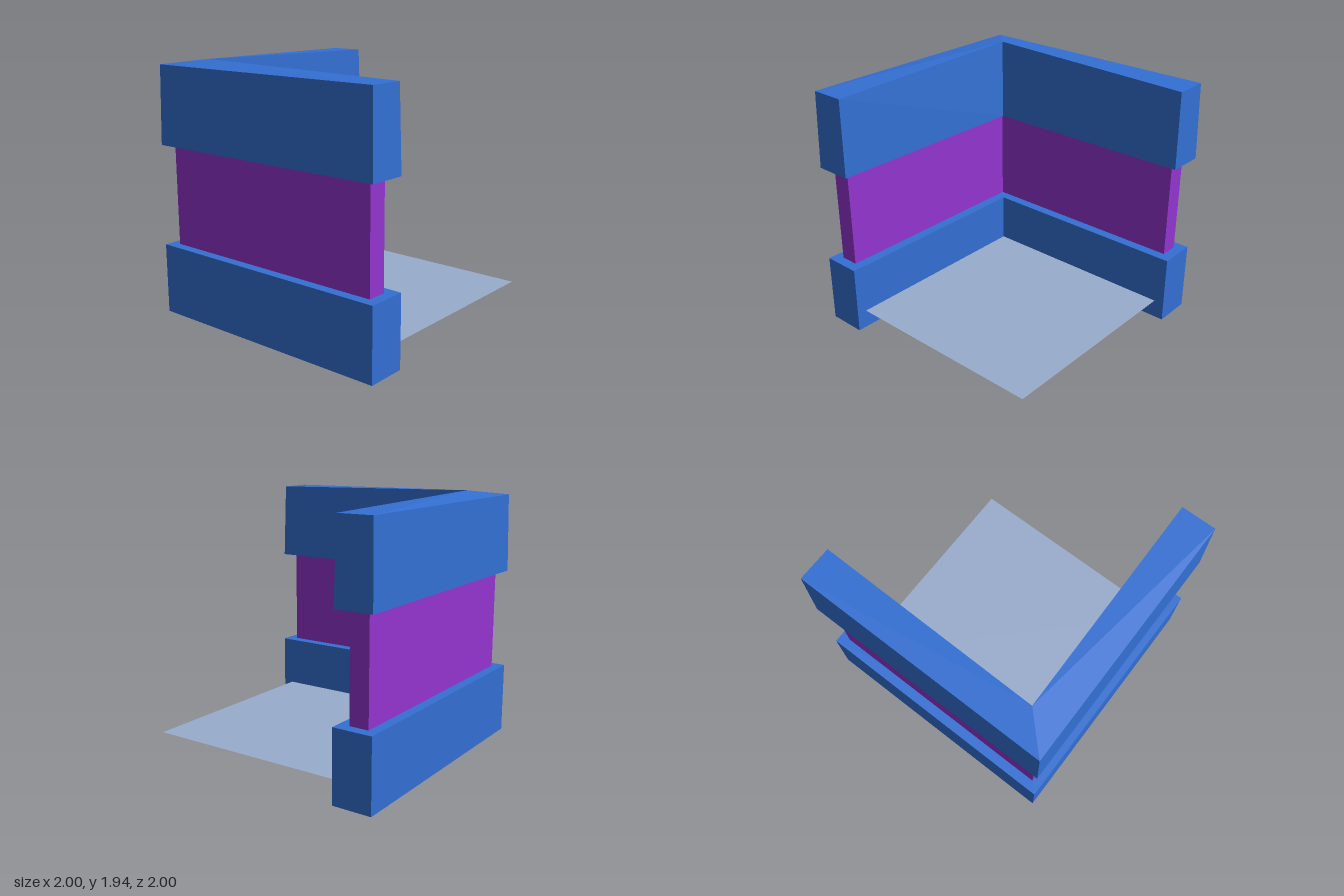
import * as THREE from 'three';

const blue = new THREE.MeshStandardMaterial({ color: 0x3370d4, flatShading: true });
const purple = new THREE.MeshStandardMaterial({ color: 0x9434d0, flatShading: true });
const floorGrey = new THREE.MeshStandardMaterial({ color: 0x98accc, side: THREE.DoubleSide });

// L-shaped outline, mirrored across the corner diagonal:
// outer corner, back arm end (outer, inner), inner corner, side arm end (inner, outer)
function ring(y, outer, end, endInner, cornerInner = endInner, cornerY = y) {
  return [
    [outer, y, outer], [end, y, outer], [end, y, endInner],
    [cornerInner, cornerY, cornerInner],
    [endInner, y, end], [outer, y, end],
  ];
}

// Solid corner wall between a lower and an upper L outline
function cornerWall(name, lower, upper, material) {
  const positions = [];
  const tri = (a, b, c) => positions.push(...a, ...b, ...c);
  for (let i = 0; i < 6; i++) {
    const j = (i + 1) % 6;
    tri(lower[i], upper[i], upper[j]);
    tri(lower[i], upper[j], lower[j]);
  }
  for (const [a, b, c] of [[0, 3, 1], [1, 3, 2], [0, 5, 3], [5, 4, 3]]) {
    tri(upper[a], upper[b], upper[c]);
    tri(lower[a], lower[c], lower[b]);
  }
  const geometry = new THREE.BufferGeometry();
  geometry.setAttribute('position', new THREE.Float32BufferAttribute(positions, 3));
  geometry.computeVertexNormals();
  const mesh = new THREE.Mesh(geometry, material);
  mesh.name = name;
  return mesh;
}

export function createModel() {
  const group = new THREE.Group();
  group.name = 'cornerWall';

  // Thick base course
  group.add(cornerWall('baseCourse', ring(0, -1, 1, -0.7), ring(0.54, -1, 1, -0.7), blue));

  // Recessed middle band
  group.add(cornerWall('middleBand',
    ring(0.54, -0.925, 0.92, -0.78), ring(1.31, -0.925, 0.92, -0.78), purple));

  // Tapered top course, rising to its inner corner
  group.add(cornerWall('topCourse',
    ring(1.31, -0.995, 0.993, -0.705),
    ring(1.905, -0.983, 0.98, -0.718, -0.743, 1.94), blue));

  // Thin floor sheet
  const floor = new THREE.Mesh(new THREE.PlaneGeometry(1.84, 1.84), floorGrey);
  floor.name = 'floor';
  floor.rotation.x = -Math.PI / 2;
  floor.position.y = 0.145;
  group.add(floor);

  return group;
}
